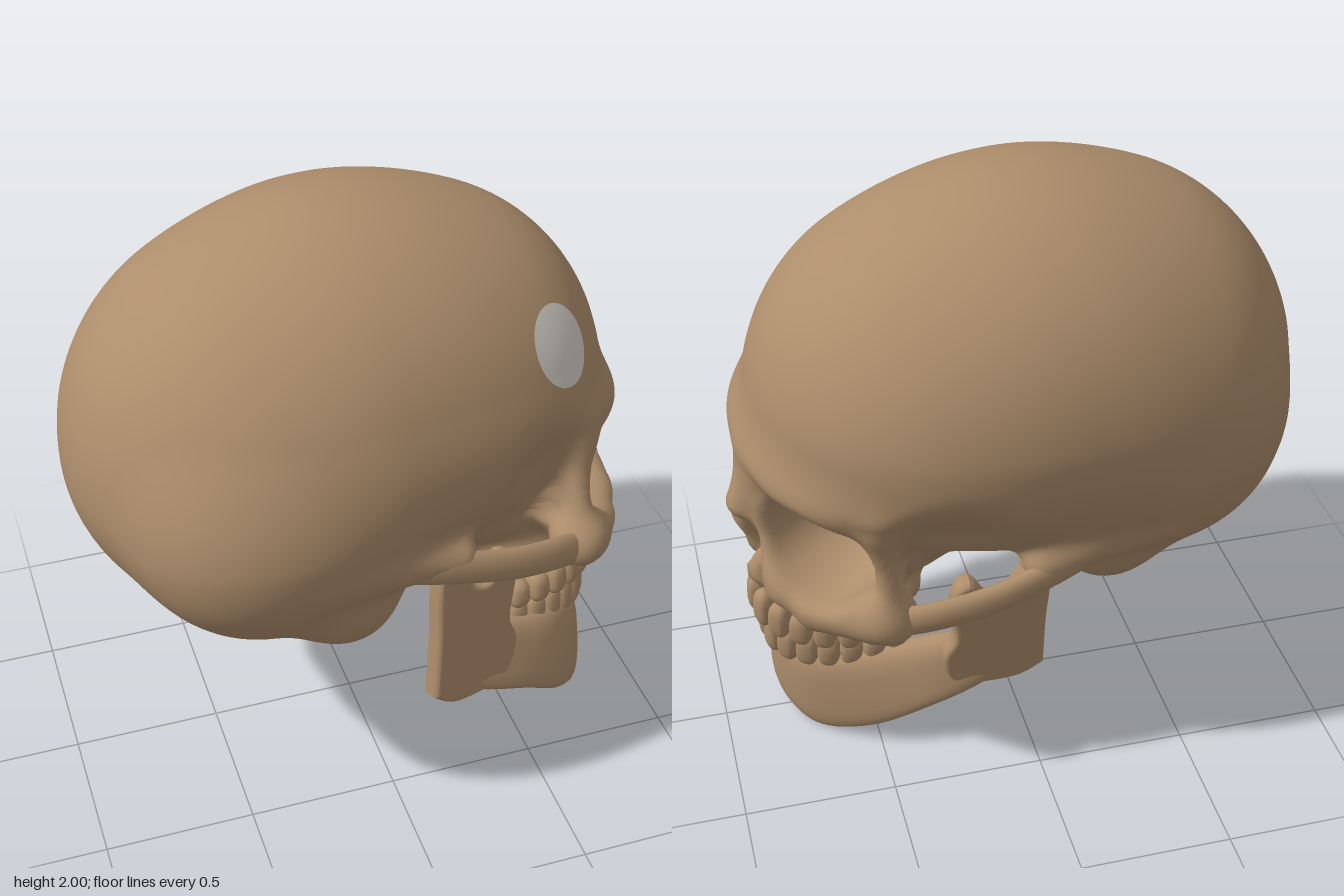
import * as THREE from 'three';
import { mergeVertices } from 'three/addons/utils/BufferGeometryUtils.js';

const bone = new THREE.MeshStandardMaterial({ color: 0xad8d6b, side: THREE.DoubleSide });
bone.name = 'bone';
const pale = new THREE.MeshStandardMaterial({ color: 0xd2cdc7, side: THREE.DoubleSide });
pale.name = 'pale grey';

// Soft blending helpers for the head shape (x forward, y up, z sideways)
const smin = (a, b, k) => {
  const h = Math.max(k - Math.abs(a - b), 0) / k;
  return Math.min(a, b) - h * h * k / 4;
};
const smax = (a, b, k) => -smin(-a, -b, k);
const ellipsoid = (x, y, z, cx, cy, cz, rx, ry, rz) => {
  const a = (x - cx) / rx, b = (y - cy) / ry, c = (z - cz) / rz;
  const k0 = Math.hypot(a, b, c), k1 = Math.hypot(a / rx, b / ry, c / rz);
  return k1 < 1e-6 ? -Math.min(rx, ry, rz) : k0 * (k0 - 1) / k1;
};
const capsule = (x, y, z, [ax, ay, az, bx, by, bz, r]) => {
  const dx = bx - ax, dy = by - ay, dz = bz - az;
  let t = ((x - ax) * dx + (y - ay) * dy + (z - az) * dz) / (dx * dx + dy * dy + dz * dz);
  t = Math.min(1, Math.max(0, t));
  return Math.hypot(x - ax - t * dx, y - ay - t * dy, z - az - t * dz) - r;
};

// Bony struts of one half of the face: start, end, radius
const struts = [
  [0.58, 1.20, 0.44, 0.55, 0.84, 0.50, 0.052],  // outer eye socket rim
  [0.55, 0.80, 0.49, 0.72, 0.72, 0.29, 0.09],   // cheekbone
  [0.78, 0.77, 0.20, 0.60, 0.80, 0.46, 0.065],  // lower eye socket rim
  [0.79, 1.08, 0.06, 0.79, 0.74, 0.18, 0.07],   // side of nose
  [-0.35, 1.0, 0.54, 0.08, 0.93, 0.55, 0.06],   // root of cheek arch
];

// Signed distance of the cranium and upper face; the vault is slightly lopsided
function head(x, y, zz) {
  const z = Math.abs(zz + 0.065 * THREE.MathUtils.clamp(y - 1.1, 0, 0.35));
  let d = ellipsoid(x, y, z, -0.255, 1.24, 0, 0.695, y > 1.24 ? 0.71 : 0.59, 0.66);
  d = smin(d, ellipsoid(x, y, z, -0.03, 1.35, 0, 0.62, y > 1.35 ? 0.655 : 0.5, 0.64), 0.1);
  d = smin(d, ellipsoid(x, y, z, 0.2, 1.3, 0, 0.65, y > 1.3 ? 0.64 : 0.5, 0.63), 0.1);
  d = smin(d, ellipsoid(x, y, z, -0.43, 1.14, 0.27, 0.43, 0.42, 0.36), 0.08);  // rear corner
  d = smin(d, ellipsoid(x, y, z, -0.24, 0.79, 0.41, 0.14, 0.12, 0.1), 0.14);   // mastoid
  d = smin(d, ellipsoid(x, y, z, 0.63, 1.19, 0, 0.25, 0.09, 0.42), 0.13);      // brow
  d = smin(d, ellipsoid(x, y, z, 0.45, 0.93, 0, 0.36, 0.3, 0.36), 0.08);       // inner face
  d = smin(d, ellipsoid(x, y, z, 0.58, 0.76, 0, 0.28, 0.2, 0.27), 0.06);       // upper jaw
  const gum = ellipsoid(x, y, z, 0.47, 0.64, 0, 0.41, 0.11, 0.29);
  d = smin(d, smax(gum, 0.36 - x, 0.05), 0.06);                                // gum ridge
  for (const s of struts) d = smin(d, capsule(x, y, z, s), 0.07);
  d = smin(d, capsule(x, y, z, [0.8, 1.14, 0, 0.885, 0.965, 0, 0.048]), 0.1);  // nose bone
  // hollows
  d = smax(d, -ellipsoid(x, y, z, 0.42, 1.02, 0.68, 0.17, 0.22, 0.2), 0.14);
  const inward = z + (0.78 - x) * 0.28;
  const socket = smin(ellipsoid(x, y, inward, 0.78, 0.975, 0.285, 0.31, 0.18, 0.185),
    ellipsoid(x, y, inward, 0.78, 0.955, 0.335, 0.31, 0.175, 0.17), 0.03);
  d = smax(d, -socket, 0.03);
  d = smax(d, -ellipsoid(x, y, z + (y - 0.75) * 0.17, 0.88, 0.74, 0.06, 0.2, 0.15, 0.05), 0.015);
  return d;
}

// Walk inwards along a direction until the head surface is met
const core = new THREE.Vector3(0.15, 1.05, 0);
function onSurface(dir, lift = 0) {
  let r = 1.4;
  for (let i = 0; i < 140; i++) {
    const d = head(core.x + dir.x * r, core.y + dir.y * r, core.z + dir.z * r);
    if (d < 0.0006) break;
    r -= Math.max(d * 0.75, 0.0005);
    if (r < 0.1) break;
  }
  return dir.clone().multiplyScalar(r + lift).add(core);
}

function mapVertices(geometry, rule) {
  const p = geometry.attributes.position, v = new THREE.Vector3();
  for (let i = 0; i < p.count; i++) {
    const q = rule(v.fromBufferAttribute(p, i));
    p.setXYZ(i, q.x, q.y, q.z);
  }
  geometry.computeVertexNormals();
  return geometry;
}

// Even out the mesh: average each vertex with its neighbours, then pull it back to the surface
function relax(geometry, rounds) {
  const p = geometry.attributes.position, index = geometry.index.array, h = 0.002;
  for (let n = 0; n < rounds; n++) {
    const sum = new Float32Array(p.count * 3), count = new Uint16Array(p.count);
    for (let i = 0; i < index.length; i++) {
      const a = index[i], b = index[i % 3 === 2 ? i - 2 : i + 1];
      for (const [to, from] of [[a, b], [b, a]]) {
        sum[to * 3] += p.getX(from);
        sum[to * 3 + 1] += p.getY(from);
        sum[to * 3 + 2] += p.getZ(from);
        count[to]++;
      }
    }
    let i = 0;
    mapVertices(geometry, v => {
      v.set(sum[i * 3], sum[i * 3 + 1], sum[i * 3 + 2]).divideScalar(count[i++]);
      const d = head(v.x, v.y, v.z);
      const g = new THREE.Vector3(head(v.x + h, v.y, v.z) - d, head(v.x, v.y + h, v.z) - d, head(v.x, v.y, v.z + h) - d);
      return v.addScaledVector(g.normalize(), -THREE.MathUtils.clamp(d, -0.02, 0.02));
    });
  }
  return geometry;
}

// Sphere with its pole at the face and most rings gathered there
function craniumGeometry() {
  let g = new THREE.SphereGeometry(1, 220, 160).rotateZ(-Math.PI / 2);
  g.deleteAttribute('uv');
  g.deleteAttribute('normal');
  g = mergeVertices(g, 1e-5);
  mapVertices(g, v => {
    const t = Math.acos(THREE.MathUtils.clamp(v.x, -1, 1)) / Math.PI;
    const a = Math.PI * Math.pow(t, 1.35), k = Math.hypot(v.y, v.z) || 1;
    return onSurface(new THREE.Vector3(Math.cos(a), Math.sin(a) * v.y / k, Math.sin(a) * v.z / k));
  });
  return relax(g, 26);
}

// Thin oval patch hugging the forehead
function patchGeometry() {
  const centre = new THREE.Vector3(0.53, 1.56, 0.535);
  const normal = new THREE.Vector3(0.27, 0.42, 0.86).normalize();
  const turn = new THREE.Quaternion().setFromUnitVectors(new THREE.Vector3(0, 0, 1), normal);
  const g = new THREE.RingGeometry(0.0005, 0.143, 56, 10);
  return mapVertices(g, v =>
    onSurface(v.clone().applyQuaternion(turn).add(centre).sub(core).normalize(), 0.005));
}

// Horseshoe body of the lower jaw: rounded sections between a lower and an upper rail
function jawGeometry() {
  const rail = half => new THREE.CatmullRomCurve3([
    ...half.slice(1).reverse().map(([x, y, z]) => new THREE.Vector3(x, y, -z)),
    ...half.map(([x, y, z]) => new THREE.Vector3(x, y, z))]);
  const low = rail([[0.74, 0.005, 0], [0.69, 0.01, 0.18], [0.55, 0.1, 0.325], [0.36, 0.23, 0.41], [0.05, 0.345, 0.44]]);
  const top = rail([[0.745, 0.33, 0], [0.71, 0.34, 0.14], [0.59, 0.38, 0.235], [0.42, 0.43, 0.3], [0.12, 0.54, 0.425]]);
  const nu = 90, nv = 24, pos = [], idx = [];
  for (let i = 0; i <= nu; i++) {
    const u = i / nu, a = low.getPoint(u), b = top.getPoint(u);
    const n = low.getTangent(u);
    n.set(n.z, 0, -n.x).normalize();
    const end = Math.sqrt(Math.max(0, 1 - Math.pow(Math.abs(2 * u - 1), 16)));
    const mid = a.clone().add(b).multiplyScalar(0.5), up = b.clone().sub(a).multiplyScalar(0.5 * end);
    for (let j = 0; j < nv; j++) {
      const t = j / nv * Math.PI * 2, c = Math.cos(t), s = Math.sin(t);
      const across = Math.sign(c) * Math.pow(Math.abs(c), 0.7) * 0.05 * end;
      const rise = Math.sign(s) * Math.pow(Math.abs(s), 0.65);
      const p = mid.clone().addScaledVector(up, rise).addScaledVector(n, across);
      pos.push(p.x, p.y, p.z);
      if (i < nu) {
        const k = (j + 1) % nv, o = i * nv, q = o + nv;
        idx.push(o + j, q + j, o + k, o + k, q + j, q + k);
      }
    }
  }
  const g = new THREE.BufferGeometry();
  g.setAttribute('position', new THREE.Float32BufferAttribute(pos, 3));
  g.setIndex(idx);
  g.computeVertexNormals();
  return g;
}

// Upright rear plate of the jaw with its two prongs
function ramusGeometry() {
  const outline = [[0.015, 0.38], [0.03, 0.6], [0.04, 0.84], [0.09, 0.86], [0.15, 0.75], [0.23, 0.73],
    [0.29, 0.81], [0.325, 0.74], [0.3, 0.56], [0.33, 0.45], [0.28, 0.33], [0.1, 0.325]];
  const shape = new THREE.Shape();
  shape.setFromPoints(new THREE.SplineCurve([...outline, outline[0]].map(p => new THREE.Vector2(...p)))
    .getPoints(72).slice(0, -1));
  return new THREE.ExtrudeGeometry(shape, { depth: 0.02, bevelSize: 0.018, bevelThickness: 0.025, bevelSegments: 5 })
    .translate(0, 0, -0.01);
}

export function createModel() {
  const model = new THREE.Group(), skull = new THREE.Group(), tilt = new THREE.Group();
  model.name = 'skullModel';
  skull.name = 'skull';
  const add = (name, geometry, material = bone) => {
    const m = new THREE.Mesh(geometry, material);
    m.name = name;
    skull.add(m);
    return m;
  };
  add('craniumAndFace', craniumGeometry());
  add('foreheadPatch', patchGeometry(), pale);
  add('lowerJaw', jawGeometry());

  // Paired parts; the jaw plates flare outwards, the cheek arch is taller than thick
  const ramus = ramusGeometry(), tall = 1.8;
  for (const [side, s] of [['left', 1], ['right', -1]]) {
    const plate = add(side + 'JawRamus', ramus);
    plate.position.z = s * 0.43;
    plate.rotation.set(s * 0.08, s * 0.17, 0);
    const condyle = add(side + 'JawCondyle', new THREE.SphereGeometry(1, 20, 14));
    condyle.scale.set(0.045, 0.04, 0.07);
    condyle.position.set(0.07, 0.855, s * 0.475);
    const path = [[0.63, 0.77, 0.43], [0.54, 0.79, 0.505], [0.43, 0.82, 0.55], [0.25, 0.86, 0.58], [0.05, 0.915, 0.58], [-0.12, 0.96, 0.56]]
      .map(([x, y, z]) => new THREE.Vector3(x, y / tall, s * z));
    add(side + 'CheekArch', new THREE.TubeGeometry(new THREE.CatmullRomCurve3(path), 40, 0.032, 14).scale(1, tall, 1));
  }

  // Teeth spaced evenly along each dental arch, tallest at the front
  const square = c => Math.sign(c) * Math.pow(Math.abs(c), 0.75);
  const toothShape = mapVertices(new THREE.SphereGeometry(1, 16, 12), v => v.set(square(v.x), square(v.y), square(v.z)));
  const teeth = (name, arch, yFront, yBack, height) => {
    const n = 14;
    arch.getSpacedPoints(n - 1).forEach((p, i) => {
      const back = Math.abs(2 * i / (n - 1) - 1);
      const tooth = add(name + (i + 1), toothShape);
      tooth.position.set(p.x, THREE.MathUtils.lerp(yFront, yBack, back), p.y);
      tooth.rotation.y = -Math.atan2(p.y / arch.yRadius ** 2, (p.x - arch.aX) / arch.xRadius ** 2);
      tooth.scale.set(0.032 + 0.014 * back, height - 0.025 * back, 0.039);
    });
  };
  teeth('upperTooth', new THREE.EllipseCurve(0.46, 0, 0.38, 0.27, -1.6, 1.6), 0.495, 0.505, 0.078);
  teeth('lowerTooth', new THREE.EllipseCurve(0.46, 0, 0.345, 0.25, -1.6, 1.6), 0.35, 0.42, 0.08);

  // The head is turned and leans a little to one side
  skull.position.y = -1;
  tilt.name = 'tiltedHead';
  tilt.rotation.set(-0.15, 0.16, 0, 'YXZ');
  tilt.position.set(0.01, 1, 0.03);
  tilt.add(skull);
  model.add(tilt);
  return model;
}
